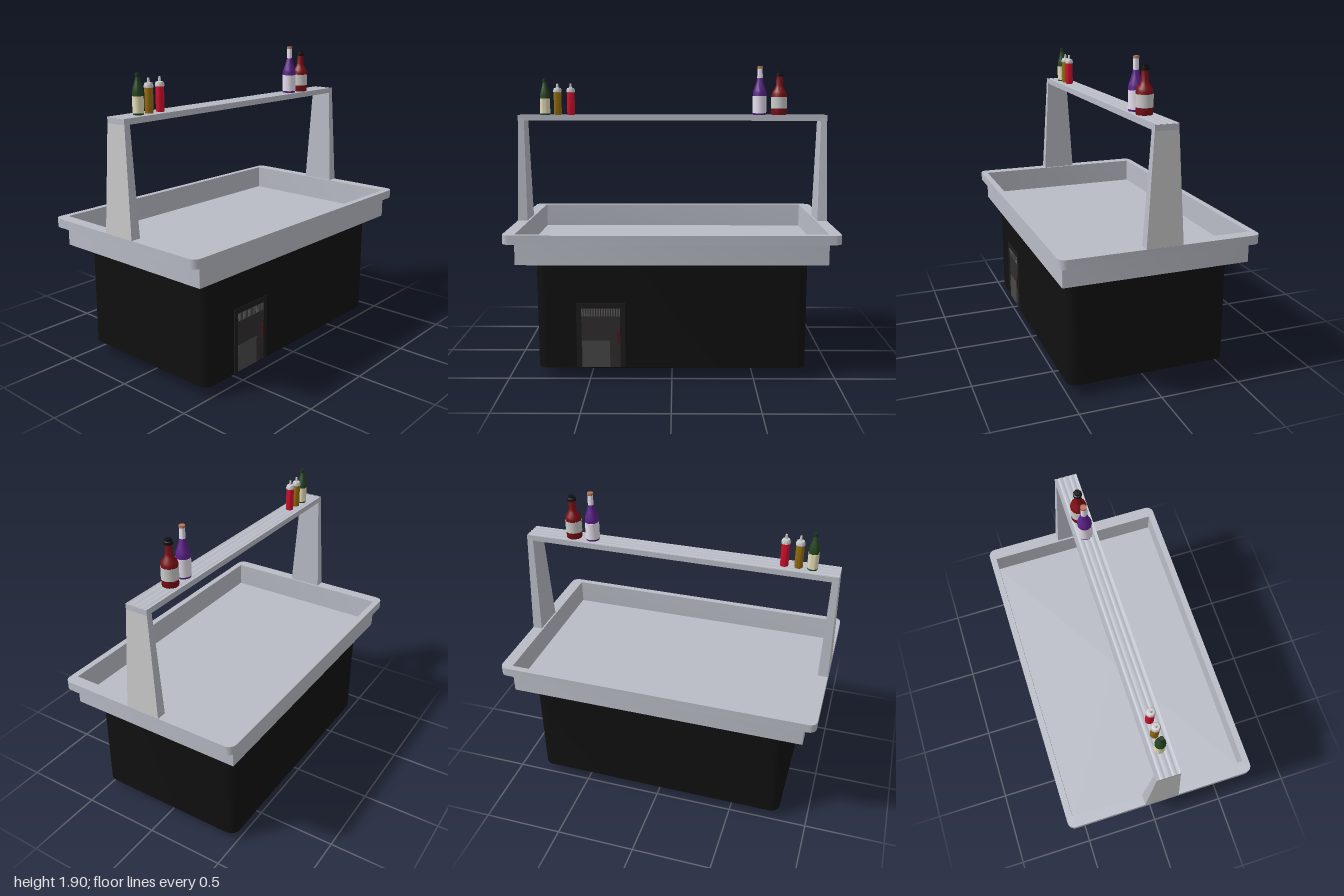
import * as THREE from 'three';
import { toCreasedNormals } from 'three/addons/utils/BufferGeometryUtils.js';

const mat = (color, side = THREE.FrontSide) => new THREE.MeshStandardMaterial({ color, side });
const steel = mat(0xb9bcc6);
const grey = mat(0xcccccc);
const black = mat(0x101010);

function add(parent, name, geometry, material, x = 0, y = 0, z = 0) {
  const mesh = new THREE.Mesh(geometry, material);
  mesh.name = name;
  mesh.position.set(x, y, z);
  parent.add(mesh);
  return mesh;
}

// Points around a rounded rectangle lying at height y
function ring([y, hx, hz, r]) {
  const points = [];
  const steps = 5;
  for (let q = 0; q < 4; q++) {
    const sx = q === 0 || q === 3 ? 1 : -1;
    const sz = q < 2 ? 1 : -1;
    for (let i = 0; i <= steps; i++) {
      const a = (q + i / steps) * Math.PI / 2;
      points.push([sx * (hx - r) + r * Math.cos(a), y, sz * (hz - r) + r * Math.sin(a)]);
    }
  }
  return points;
}

// Skin over a list of rounded rectangles [y, halfX, halfZ, cornerRadius]
function loft(sections) {
  const rings = sections.map(ring);
  const pos = [];
  for (let i = 0; i < rings.length - 1; i++) {
    const n = rings[i].length;
    for (let j = 0; j < n; j++) {
      const k = (j + 1) % n;
      const a = rings[i][j], b = rings[i][k], c = rings[i + 1][k], d = rings[i + 1][j];
      pos.push(...a, ...d, ...c, ...a, ...c, ...b);
    }
  }
  const geometry = new THREE.BufferGeometry();
  geometry.setAttribute('position', new THREE.Float32BufferAttribute(pos, 3));
  return toCreasedNormals(geometry, 0.4);
}

// Turned part from a profile of [radius, height]
function turned(profile) {
  const geometry = new THREE.LatheGeometry(profile.map(([r, y]) => new THREE.Vector2(r, y)), 24);
  return toCreasedNormals(geometry, 0.6);
}

// Tapered post; side is +1 for left, -1 for right
function postGeometry(side) {
  const geometry = new THREE.BoxGeometry(1, 1, 1);
  const p = geometry.attributes.position;
  for (let i = 0; i < p.count; i++) {
    const top = p.getY(i) > 0;
    const outer = p.getX(i) * side > 0;
    const x = outer ? (top ? 0.984 : 0.998) : (top ? 0.946 : 0.935);
    p.setXYZ(i, side * x, top ? 1.586 : 0.9, Math.sign(p.getZ(i)) * (top ? 0.069 : 0.111));
  }
  geometry.computeVertexNormals();
  return geometry;
}

// Shelf board with shallow grooves running along its top
function shelfGeometry() {
  const shape = new THREE.Shape();
  shape.moveTo(-0.07, 1.555);
  shape.lineTo(0.07, 1.555);
  const n = 40;
  for (let i = 0; i <= n; i++) {
    const t = i / n;
    shape.lineTo(0.07 - 0.14 * t, 1.588 + 0.002 * Math.cos(t * Math.PI * 8));
  }
  shape.closePath();
  const geometry = new THREE.ExtrudeGeometry(shape, { depth: 1.97, bevelEnabled: false });
  geometry.rotateY(Math.PI / 2).translate(-0.985, 0, 0);
  return toCreasedNormals(geometry, 0.6);
}

// Each bottle is a stack of turned sections
function bottle(parent, name, x, sections) {
  const group = new THREE.Group();
  group.name = name;
  group.position.set(x, 1.589, 0);
  for (const [part, color, profile] of sections) add(group, part, turned(profile), mat(color));
  parent.add(group);
}

function band(r, y0, y1) {
  return [[r - 0.003, y0], [r, y0], [r, y1], [r - 0.003, y1]];
}

export function createModel() {
  const model = new THREE.Group();
  model.name = 'barCounter';

  // Dark base with a tapered foot
  add(model, 'base', loft([
    [0, 0, 0, 0], [0, 0.55, 0.325, 0.04], [0.07, 0.82, 0.5, 0.06], [0.735, 0.82, 0.5, 0.06],
  ]), black);

  // Counter: skirt, overhanging rim and sunken tray
  add(model, 'counterTray', loft([
    [0.73, 0, 0, 0], [0.73, 0.928, 0.565, 0.002], [0.86, 0.928, 0.565, 0.002],
    [0.86, 0.998, 0.6, 0.045], [0.915, 0.998, 0.6, 0.045],
    [0.915, 0.924, 0.56, 0.002], [0.76, 0.924, 0.56, 0.002], [0.76, 0, 0, 0],
  ]), steel);

  // Overhead shelf on two posts, with plain grey outer faces
  for (const side of [1, -1]) {
    const faces = Array(6).fill(steel);
    faces[side > 0 ? 0 : 1] = grey;
    add(model, side > 0 ? 'leftPost' : 'rightPost', postGeometry(side), faces);
  }
  add(model, 'shelf', shelfGeometry(), steel);

  // Door set in the front of the base
  const door = new THREE.Group();
  door.name = 'door';
  door.position.set(-0.432, 0, 0.499);
  model.add(door);
  const frame = mat(0x1c1c1c), panel = mat(0x302d2e);
  for (const s of [-1, 1]) add(door, 'doorJamb', new THREE.BoxGeometry(0.03, 0.405, 0.012), frame, s * 0.133, 0.2775);
  add(door, 'doorLintel', new THREE.BoxGeometry(0.236, 0.03, 0.012), frame, 0, 0.465);
  add(door, 'doorPanel', new THREE.BoxGeometry(0.236, 0.375, 0.006), panel, 0, 0.2625);
  add(door, 'lowerPanel', new THREE.BoxGeometry(0.17, 0.17, 0.008), mat(0x484848), -0.03, 0.16);
  for (let i = 0; i < 16; i++) {
    add(door, 'ventSlat', new THREE.BoxGeometry(0.009, 0.046, 0.01), mat(0x5c5c5c), -0.112 + i * 0.015, 0.42);
  }
  add(door, 'doorHandle', new THREE.BoxGeometry(0.012, 0.09, 0.02), mat(0x5a1018), 0.107, 0.265);

  // Green bottle
  bottle(model, 'greenBottle', -0.82, [
    ['glass', 0x24451f, [[0, 0], [0.03, 0], [0.031, 0.005], [0.031, 0.125], [0.027, 0.15],
      [0.018, 0.178], [0.012, 0.205], [0.011, 0.215]]],
    ['label', 0xe6dfb8, band(0.0325, 0.01, 0.105)],
    ['cap', 0x1c3020, [[0.011, 0.21], [0.014, 0.212], [0.013, 0.231], [0, 0.231]]],
  ]);

  // Two squeeze bottles with pale nozzles
  for (const [name, color, x] of [['mustardBottle', 0x9a7010, -0.738], ['redSauceBottle', 0xd8102e, -0.653]]) {
    bottle(model, name, x, [
      ['body', color, [[0, 0], [0.024, 0], [0.025, 0.004], [0.025, 0.145], [0, 0.145]]],
      ['nozzle', 0xeeeeee, [[0.025, 0.144], [0.027, 0.145], [0.027, 0.158], [0.022, 0.17],
        [0.009, 0.174], [0.006, 0.2], [0, 0.2]]],
    ]);
  }

  // Purple bottle
  bottle(model, 'purpleBottle', 0.56, [
    ['glass', 0x5b2188, [[0, 0], [0.041, 0], [0.043, 0.006], [0.043, 0.14], [0.04, 0.155],
      [0.028, 0.19], [0.02, 0.22], [0.017, 0.235]]],
    ['label', 0xe6e0ee, band(0.0445, 0.012, 0.12)],
    ['neckWrap', 0xe6e0ee, [[0.018, 0.233], [0.016, 0.296], [0.013, 0.296]]],
    ['cork', 0xb87858, [[0.016, 0.294], [0.018, 0.296], [0.018, 0.31], [0, 0.31]]],
  ]);

  // Dark red bottle
  bottle(model, 'darkRedBottle', 0.685, [
    ['glass', 0x7d0f16, [[0, 0], [0.047, 0], [0.049, 0.006], [0.049, 0.13], [0.044, 0.148],
      [0.028, 0.17], [0.022, 0.19], [0.02, 0.245]]],
    ['label', 0xd8d8d8, band(0.051, 0.042, 0.115)],
    ['cap', 0x111111, [[0.02, 0.243], [0.026, 0.245], [0.026, 0.26], [0.019, 0.264], [0.019, 0.276], [0, 0.278]]],
  ]);

  return model;
}
